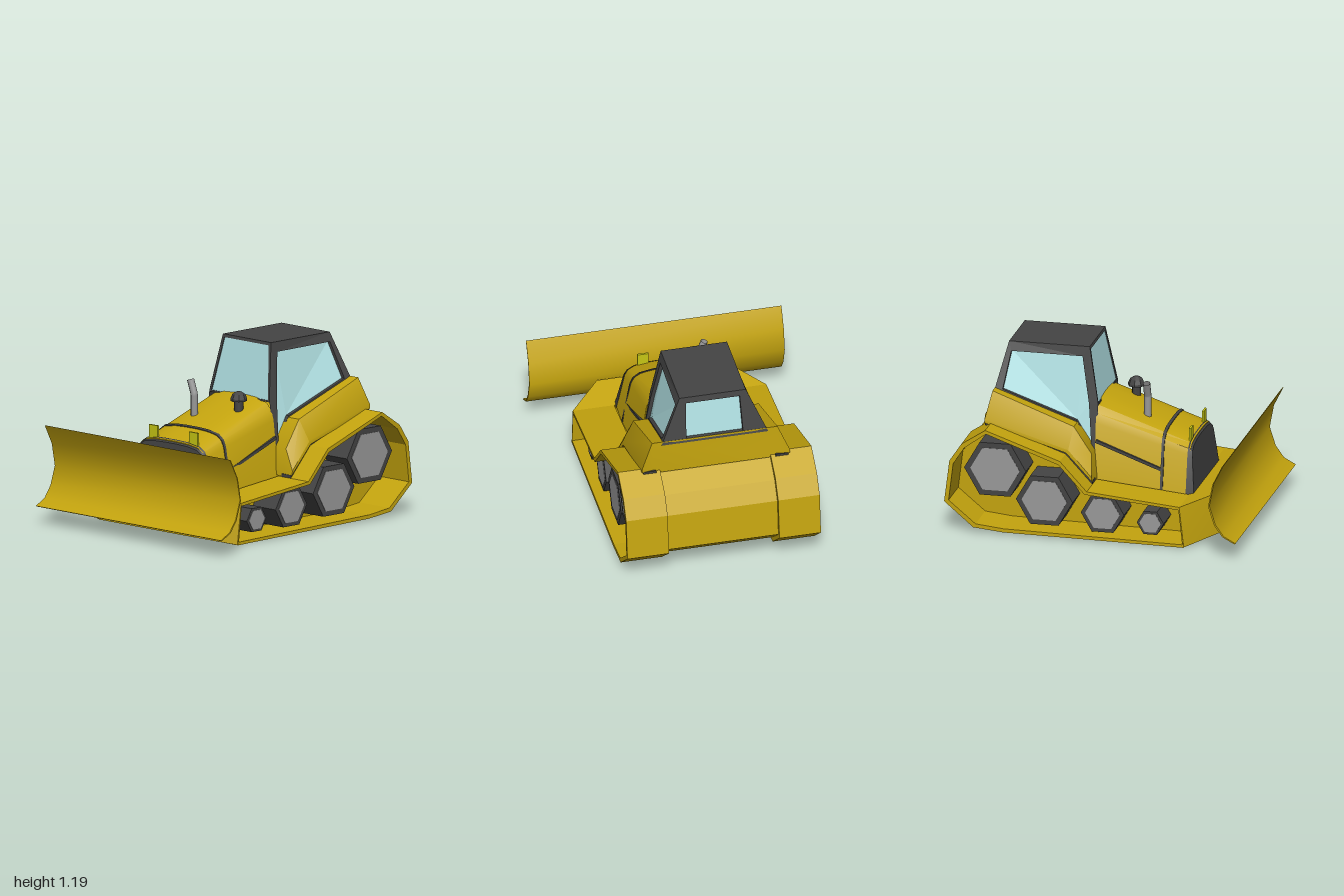
import * as THREE from 'three';
import { toCreasedNormals } from 'three/addons/utils/BufferGeometryUtils.js';

const mat = (color, side = THREE.FrontSide) => new THREE.MeshStandardMaterial({ color, side });
const V = (x, y, z) => new THREE.Vector3(x, y, z);
const CZ = -0.028; // the hull sits slightly off the blade's centre line

function fromTriangles(tris) {
  const g = new THREE.BufferGeometry().setFromPoints(tris);
  g.computeVertexNormals();
  return g;
}

// Closed solid through rings of equal point count; caps are zipped between mirrored indices
function loft(rings) {
  const t = [], n = rings[0].length;
  for (let r = 0; r + 1 < rings.length; r++) {
    const a = rings[r], b = rings[r + 1];
    for (let i = 0; i < n; i++) {
      const j = (i + 1) % n;
      t.push(a[i], a[j], b[j], a[i], b[j], b[i]);
    }
  }
  const first = rings[0], last = rings[rings.length - 1];
  for (let i = 0; i < n / 2 - 1; i++) {
    const k = n - 1 - i;
    t.push(last[i], last[i + 1], last[k - 1], last[i], last[k - 1], last[k]);
    t.push(first[i], first[k - 1], first[i + 1], first[i], first[k], first[k - 1]);
  }
  let volume = 0;
  for (let i = 0; i < t.length; i += 3) volume += t[i].dot(V(0, 0, 0).crossVectors(t[i + 1], t[i + 2]));
  if (volume < 0) for (let i = 0; i < t.length; i += 3) [t[i + 1], t[i + 2]] = [t[i + 2], t[i + 1]];
  return toCreasedNormals(fromTriangles(t), 0.5);
}

function shapeOf(points) {
  return new THREE.Shape(points.map(([x, y]) => new THREE.Vector2(x, y)));
}

// Extrusion of a side profile between two z values
function slab(shape, z0, z1) {
  return new THREE.ExtrudeGeometry(shape, { depth: z1 - z0, bevelEnabled: false }).translate(0, 0, z0);
}

export function createModel() {
  const model = new THREE.Group();
  const hull = new THREE.Group();
  hull.name = 'hull';
  hull.position.z = CZ;
  model.add(hull);

  const yellow = mat(0xc4a40e), dark = mat(0x444444), grey = mat(0x999999);
  const darkSheet = mat(0x444444, THREE.DoubleSide), glass = mat(0xb0e0e2, THREE.DoubleSide);
  const lamp = mat(0xc8c814);
  const add = (name, geometry, material, parent = hull) => {
    const m = new THREE.Mesh(geometry, material);
    m.name = name;
    parent.add(m);
    return m;
  };

  // Track covers: outer profile with an open wheel bay, and the body between them
  const outer = [[-0.61, 0], [0.6, 0.015], [0.8, 0.035], [0.995, 0.2], [0.96, 0.48], [0.88, 0.6], [0.72, 0.705],
    [0.22, 0.53], [0.04, 0.335], [-0.58, 0.275]];
  const inner = [[-0.6, 0.02], [0.6, 0.04], [0.785, 0.06], [0.965, 0.21], [0.935, 0.46], [0.86, 0.575], [0.715, 0.68],
    [0.23, 0.505], [0.055, 0.315], [-0.575, 0.255]];
  const band = shapeOf(outer);
  band.holes.push(shapeOf(inner));
  for (const s of [1, -1]) {
    add('trackCover', slab(band, s > 0 ? 0.37 : -0.648, s > 0 ? 0.648 : -0.37), yellow);
  }
  add('body', slab(shapeOf(inner), -0.371, 0.371), yellow);

  // Tapered nose
  const noseRing = (xb, xt, y0, y1, w) => [V(xb, y0, -w), V(xb, y0, w), V(xt, y1, w), V(xt, y1, -w)];
  add('nose', loft([noseRing(-0.8, -0.8, 0.05, 0.33, 0.435), noseRing(-0.605, -0.58, 0, 0.275, 0.648)]), yellow);

  // Six-sided road wheels on both sides
  const wheels = [[-0.37, 0.13, 0.09], [-0.05, 0.17, 0.145], [0.34, 0.23, 0.19], [0.67, 0.42, 0.207]];
  const hex = (r, depth) => new THREE.CylinderGeometry(r, r, depth, 6).rotateY(Math.PI / 6).rotateX(Math.PI / 2);
  for (const [x, y, r] of wheels) {
    for (const s of [1, -1]) {
      add('wheel', toCreasedNormals(hex(r, 0.21), 0.5), dark).position.set(x, y, s * 0.475);
      add('wheelHub', toCreasedNormals(hex(r * 0.8, 0.01), 0.5), grey).position.set(x, y, s * 0.578);
    }
  }

  // Hood: rounded section that rises toward the cab
  const hoodTop = (x) => 0.6 + (x + 0.575) * 0.365;
  const section = [[0.36, 0], [0.305, 0.76], [0.285, 0.87], [0.24, 0.95], [0.15, 0.99], [0.05, 1]];
  const hoodRing = (x, grow = 0, lean = 0) => {
    const half = section.map(([z, h]) => [z + grow, 0.27 + (hoodTop(x) + grow - 0.27) * h, h]);
    return [...half.map(([z, y, h]) => V(x + lean * h, y, z)),
      ...half.reverse().map(([z, y, h]) => V(x + lean * h, y, -z))];
  };
  add('hood', loft([hoodRing(-0.57), hoodRing(0.06)]), yellow);
  add('grille', loft([hoodRing(-0.61, 0, 0.03), hoodRing(-0.555, 0.003)]), dark);
  add('hoodBand', loft([hoodRing(-0.4, 0.005), hoodRing(-0.382, 0.005)]), dark);
  for (const s of [1, -1]) {
    const strip = add('hoodStrip', new THREE.BoxGeometry(0.47, 0.02, 0.03), dark);
    strip.position.set(-0.165, 0.5, s * 0.322);
    strip.rotation.z = 0.355;
    add('headlight', new THREE.BoxGeometry(0.014, 0.09, 0.075), lamp).position.set(-0.552, 0.635, s * 0.185);
  }

  // Exhaust with a bent tip, and domed air intake
  const bend = new THREE.CurvePath();
  const pipe = [V(-0.245, 0.66, -0.12), V(-0.245, 0.85, -0.12), V(-0.245, 0.945, -0.155)];
  bend.add(new THREE.LineCurve3(pipe[0], pipe[1]));
  bend.add(new THREE.LineCurve3(pipe[1], pipe[2]));
  add('exhaust', new THREE.TubeGeometry(bend, 16, 0.024, 10), mat(0x999999, THREE.DoubleSide));
  add('intakeStem', new THREE.CylinderGeometry(0.03, 0.03, 0.2, 8), dark).position.set(-0.105, 0.75, 0.15);
  const dome = [[0, -0.005], [0.055, -0.005], [0.055, 0.01], [0.042, 0.04], [0.02, 0.055], [0, 0.058]];
  add('intakeCap', toCreasedNormals(new THREE.LatheGeometry(dome.map(([r, y]) => new THREE.Vector2(r, y)), 8), 0.3),
    dark).position.set(-0.105, 0.83, 0.15);

  // Fender block: stepped profile, flared outward at its lower edge
  const core = [[0.04, 0.34], [0.22, 0.515], [0.74, 0.675], [0.725, 0.905], [0.18, 0.7], [0.06, 0.52]];
  const flare = [[0.04, 0.355], [0.215, 0.54], [0.76, 0.705], [0.76, 0.73], [0.2, 0.56], [0.045, 0.385]];
  const ringAt = (p, z) => p.map(([x, y]) => V(x, y, z));
  add('fender', loft([ringAt(flare, -0.495), ringAt(core, -0.42), ringAt(core, 0.42), ringAt(flare, 0.495)]), yellow);
  for (const s of [1, -1]) { // dark trim under the fender
    const trim = shapeOf([[0.04, 0.335], [0.22, 0.52], [0.76, 0.69], [0.76, 0.705], [0.215, 0.54], [0.04, 0.355]]);
    add('fenderTrim', slab(trim, s > 0 ? 0.4 : -0.485, s > 0 ? 0.485 : -0.4), dark);
  }

  // Cab: framed panels with recessed glass
  const cab = new THREE.Group();
  cab.name = 'cab';
  hull.add(cab);
  const halfWidth = (x, y) => 0.222 + (1.19 - y) * (0.148 + 0.287 * (x - 0.05) / 0.68);
  function panel(name, rim, hole, inset) {
    const n = rim.length, frame = [], pane = [], sunk = hole.map((p) => p.clone().add(inset));
    for (let i = 0; i < n; i++) {
      const j = (i + 1) % n;
      frame.push(rim[i], rim[j], hole[j], rim[i], hole[j], hole[i]);
      frame.push(hole[i], hole[j], sunk[j], hole[i], sunk[j], sunk[i]);
      if (i > 0 && i < n - 1) pane.push(sunk[0], sunk[i], sunk[j]);
    }
    add(name + 'Frame', fromTriangles(frame), darkSheet, cab);
    add(name + 'Glass', fromTriangles(pane), glass, cab);
  }
  const sideRim = [[0.18, 0.68], [0.73, 0.88], [0.66, 1.19], [0.12, 1.19], [0.05, 0.82], [0.05, 0.48]];
  const sideHole = [[0.185, 0.71], [0.675, 0.895], [0.64, 1.13], [0.165, 1.125], [0.11, 0.82], [0.085, 0.55]];
  for (const s of [1, -1]) {
    const place = ([x, y]) => V(x, y, s * halfWidth(x, y));
    panel('sideWindow', sideRim.map(place), sideHole.map(place), V(0, 0, -0.025 * s));
  }
  const span = (x0, y0, w0, x1, y1, w1) => [V(x0, y0, w0), V(x1, y1, w1), V(x1, y1, -w1), V(x0, y0, -w0)];
  panel('windscreen', span(0.05, 0.81, 0.278, 0.12, 1.19, 0.222), span(0.052, 0.82, 0.26, 0.116, 1.17, 0.205),
    V(0.006, 0, 0));
  panel('rearWindow', span(0.73, 0.88, 0.357, 0.66, 1.19, 0.222), span(0.722, 0.905, 0.19, 0.669, 1.15, 0.18),
    V(-0.025, 0, 0));
  add('roof', new THREE.BoxGeometry(0.54, 0.02, 0.444), dark, cab).position.set(0.39, 1.18, 0);

  // Curved blade with two mounting arms
  const curve = [[-0.918, 0.64], [-0.853, 0.51], [-0.825, 0.36], [-0.865, 0.235], [-0.92, 0.158], [-1, 0.115]];
  const back = curve.map(([x, y]) => [x + 0.009, y - 0.005]).reverse();
  add('blade', toCreasedNormals(slab(shapeOf([...curve, ...back]), -0.855, 0.855), 0.5), yellow, model);
  const arm = shapeOf([[-0.85, 0.27], [-0.87, 0.2], [-0.78, 0.155], [-0.78, 0.24]]);
  for (const z of [-0.37, 0.305]) add('bladeArm', slab(arm, z, z + 0.065), yellow, model);

  return model;
}
